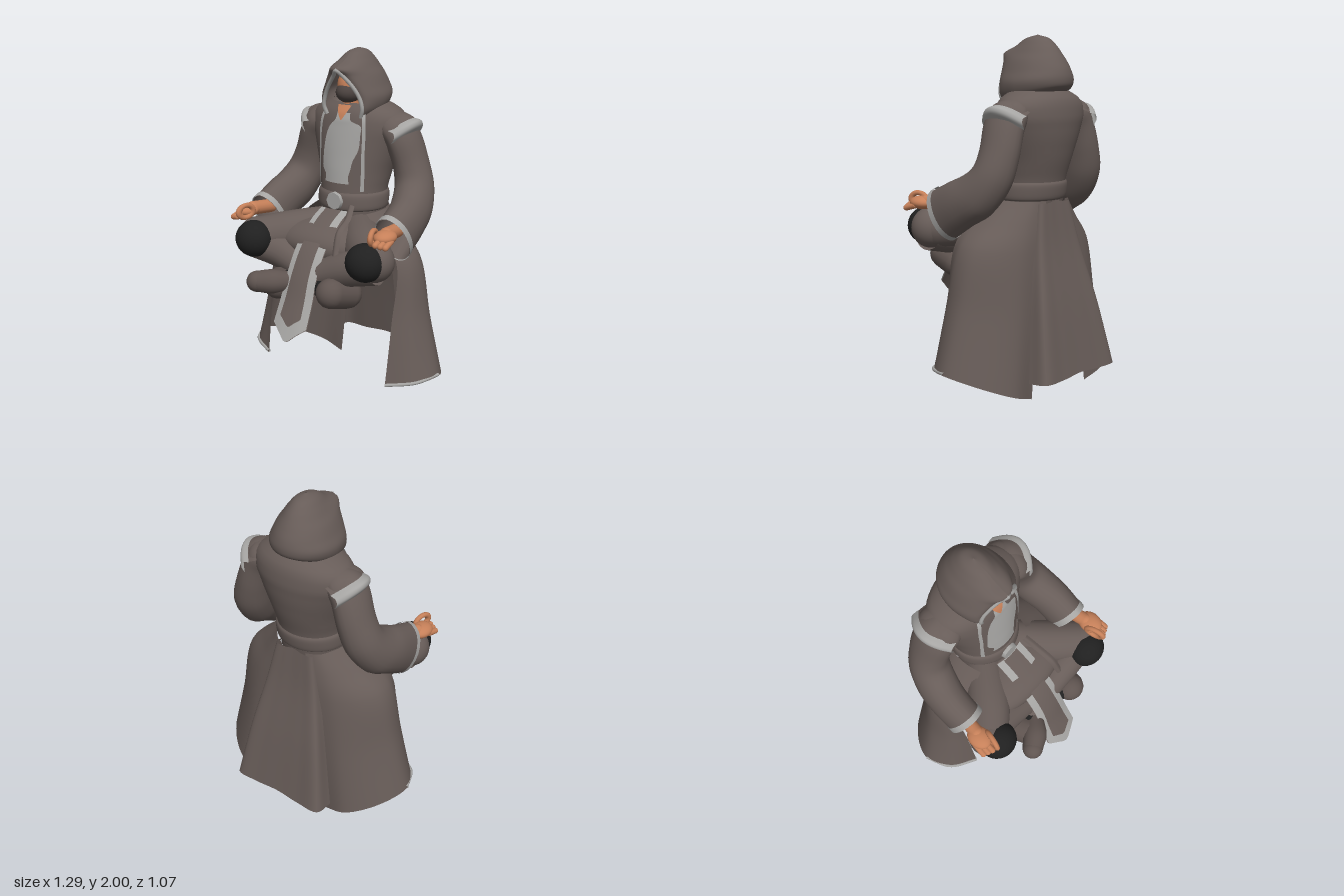
import * as THREE from 'three';

const V = (x, y, z) => new THREE.Vector3(x, y, z);
const mat = (name, color, side = THREE.FrontSide) => new THREE.MeshStandardMaterial({ name, color, side });

// Smooth surface through rows of points
function surface(rows, nu, nv, closed = false) {
  const across = rows.map((r) => {
    const c = new THREE.CatmullRomCurve3(r, closed);
    return Array.from({ length: closed ? nu : nu + 1 }, (_, i) => c.getPoint(i / nu));
  });
  const n = across[0].length, pos = [], idx = [];
  const cols = across[0].map((_, i) => new THREE.CatmullRomCurve3(across.map((r) => r[i])));
  for (let j = 0; j <= nv; j++) for (const c of cols) pos.push(...c.getPoint(j / nv).toArray());
  for (let j = 0; j < nv; j++) for (let i = 0; i < (closed ? n : n - 1); i++) {
    const a = j * n + i, b = j * n + (i + 1) % n;
    idx.push(a, b, b + n, a, b + n, a + n);
  }
  const g = new THREE.BufferGeometry();
  g.setAttribute('position', new THREE.Float32BufferAttribute(pos, 3));
  g.setIndex(idx);
  g.computeVertexNormals();
  return g;
}

// Tapered limb: rings are [x, y, z, radiusU, radiusV]
function limb(rings, ref = V(1, 0, 0)) {
  const p = rings.map((r) => V(r[0], r[1], r[2]));
  const rows = rings.map((r, i) => {
    const t = p[Math.min(i + 1, p.length - 1)].clone().sub(p[Math.max(i - 1, 0)]).normalize();
    const u = ref.clone().addScaledVector(t, -ref.dot(t)).normalize();
    const v = t.clone().cross(u);
    return Array.from({ length: 8 }, (_, k) => {
      const a = k * Math.PI / 4;
      return p[i].clone().addScaledVector(u, r[3] * Math.cos(a)).addScaledVector(v, (r[4] ?? r[3]) * Math.sin(a));
    });
  });
  return surface(rows, 24, rings.length * 5, true);
}

// Torso outline: y, half width, back z, front z
const TORSO = [[0.98, 0.19, -0.31, 0.02], [1.1, 0.2, -0.33, 0.025], [1.2, 0.2, -0.345, 0.02], [1.32, 0.225, -0.38, 0.01],
  [1.44, 0.265, -0.405, -0.005], [1.54, 0.3, -0.415, -0.02], [1.61, 0.305, -0.41, -0.032], [1.66, 0.255, -0.39, -0.05], [1.7, 0.17, -0.35, -0.08]];
function torsoAt(y) {
  let i = 0;
  while (i < TORSO.length - 2 && y > TORSO[i + 1][0]) i++;
  const f = (y - TORSO[i][0]) / (TORSO[i + 1][0] - TORSO[i][0]);
  return TORSO[i].map((v, k) => v + f * (TORSO[i + 1][k] - v));
}
const torsoRing = (y, grow = 0) => {
  const [, X, B, F] = torsoAt(y);
  return Array.from({ length: 24 }, (_, k) => {
    const a = k * Math.PI / 12;
    return V((X + grow) * Math.cos(a), y, (B + F) / 2 + ((F - B) / 2 + grow) * Math.sin(a));
  });
};
// Thin patch lying on the chest: rows of [y, xLeft, xRight]
const patch = (rows, lift) => surface(rows.map(([y, a, b]) => Array.from({ length: 7 }, (_, k) => {
  const x = a + (b - a) * k / 6, [, X, B, F] = torsoAt(y);
  return V(x, y, (B + F) / 2 + (F - B) / 2 * Math.sqrt(1 - (x / X) ** 2) + lift);
})), 8, 28);

// Hood outline: y, half width, centre z, back z, front z, opening half width, rear lift
const HOOD = [[1.63, 0.14, -0.17, -0.33, -0.05, 0.115, 0.05], [1.68, 0.178, -0.19, -0.4, -0.04, 0.13, 0.04],
  [1.74, 0.19, -0.2, -0.41, -0.035, 0.116, 0.02], [1.8, 0.167, -0.2, -0.4, -0.02, 0.082, 0.01],
  [1.86, 0.14, -0.2, -0.375, 0.005, 0.032, 0], [1.9, 0.112, -0.2, -0.35, 0.032, 0.003, 0],
  [1.94, 0.085, -0.2, -0.32, -0.055, 0, 0], [1.98, 0.05, -0.2, -0.275, -0.12, 0, 0], [2, 0.003, -0.2, -0.204, -0.196, 0, 0]];
function hoodRow([y, X, c, B, F, w, lift]) {
  const half = [0, 1, 2, 3].map((k) => k * Math.PI / 8)
    .map((a) => V(w + (X - w) * Math.sin(a), y, c + (F - c) * Math.cos(a)));
  const back = Array.from({ length: 9 }, (_, k) => {
    const b = k * Math.PI / 8;
    return V(X * Math.cos(b), y + lift * Math.sin(b), c + (B - c) * Math.sin(b));
  });
  return [...half, ...back, ...half.map((p) => V(-p.x, p.y, p.z)).reverse()];
}

// Hanging front cloth, slightly bowed: rows of [y, z, half width, point depth]
const drape = (rows, off) => surface(rows.map(([y, z, w, d]) => [-1, -0.5, 0, 0.5, 1].map((k) =>
  V(k * w, y - d * (1 - Math.abs(k)) + off * 0.5, z + d * 0.4 * (1 - Math.abs(k)) + off - 1.4 * (k * w) ** 2))), 16, 28);

export function createModel() {
  const root = new THREE.Group();
  const robe = mat('robe brown', 0x675c58, THREE.DoubleSide), trim = mat('trim grey', 0xa6a5a3, THREE.DoubleSide);
  const skin = mat('skin', 0xc68059, THREE.DoubleSide), black = mat('knee pad black', 0x202020);
  const mask = mat('mask dark brown', 0x4c4340), boot = mat('boot brown', 0x5f5450, THREE.DoubleSide);
  const add = (name, g, m, parent = root) => {
    const o = new THREE.Mesh(g, m);
    o.name = name;
    parent.add(o);
    return o;
  };
  const ball = (name, m, p, r, parent) => {
    const o = add(name, new THREE.SphereGeometry(1, 28, 18), m, parent);
    o.position.set(...p);
    o.scale.set(...r);
  };
  const capsule = (name, m, a, b, r, parent) => {
    const A = V(...a), d = V(...b).sub(A);
    const o = add(name, new THREE.CapsuleGeometry(r, d.length(), 8, 16), m, parent);
    o.position.copy(A).addScaledVector(d, 0.5);
    o.quaternion.setFromUnitVectors(V(0, 1, 0), d.normalize());
  };
  const tube = (name, pts, r, m, parent) =>
    add(name, new THREE.TubeGeometry(new THREE.CatmullRomCurve3(pts), 40, r, 8), m, parent);

  // Torso, belt and chest
  const ys = Array.from({ length: 19 }, (_, i) => 0.98 + i * 0.04);
  add('torso', surface(ys.map((y) => torsoRing(y)), 48, 36, true), robe);
  add('belt', surface([[1.09, 0], [1.1, 0.01], [1.145, 0.014], [1.18, 0.01], [1.195, 0]].map(([y, g]) => torsoRing(y, g)), 48, 16, true), robe);
  const buckle = add('buckle', new THREE.CylinderGeometry(0.05, 0.054, 0.02, 8), trim);
  buckle.rotation.x = Math.PI / 2;
  buckle.position.set(0, 1.15, 0.044);
  add('shirtPanel', patch([[1.25, -0.09, 0.075], [1.29, -0.085, 0.07], [1.33, -0.115, 0.08], [1.38, -0.115, 0.09], [1.45, -0.11, 0.12],
    [1.53, -0.095, 0.125], [1.58, -0.07, 0.125], [1.61, -0.04, 0.06], [1.65, -0.035, 0.05]], 0.008), trim);
  add('neckSkin', patch([[1.61, -0.004, 0.004], [1.65, -0.028, 0.028], [1.69, -0.045, 0.045]], 0.014), skin);

  // Head inside the hood
  ball('head', skin, [0, 1.79, -0.13], [0.078, 0.105, 0.09]);
  ball('faceMask', mask, [0, 1.758, -0.105], [0.072, 0.062, 0.088]);
  add('neck', new THREE.CylinderGeometry(0.05, 0.055, 0.16, 20), skin).position.set(0, 1.66, -0.125);
  add('hood', surface(HOOD.map(hoodRow), 64, 48), robe);
  const rim = HOOD.slice(0, 5).map((h) => V(h[5], h[0], h[4]));
  tube('hoodTrim', [...rim, V(0, 1.893, 0.03), ...rim.map((p) => V(-p.x, p.y, p.z)).reverse()], 0.012, trim);

  // Front cloth with border
  const path = [[1.1, 0.05, 0.095, 0], [1.05, 0.15, 0.096, 0], [0.93, 0.29, 0.098, 0], [0.8, 0.375, 0.1, 0],
    [0.66, 0.435, 0.107, 0], [0.53, 0.5, 0.112, 0.08]];
  add('frontClothBorder', drape(path, 0), trim);
  add('frontClothBack', drape(path, -0.007), robe);
  add('frontClothCentre', drape(path.map(([y, z, w, d], i) => [i < 5 ? y : 0.575, i < 5 ? z : 0.4775, w - 0.042, d * 0.6]), 0.006), robe);

  // Sash end over the lap
  add('sash', surface([[0.12, 1.14, 0.05], [0.14, 1.08, 0.12], [0.155, 1.03, 0.23], [0.17, 0.91, 0.29]].map(([x, y, z]) =>
    [V(x - 0.018, y, z), V(x, y + 0.008, z + 0.008), V(x + 0.022, y, z)]), 6, 16), robe);

  // Rear coat panel
  add('rearCoatPanel', surface([[1.08, 0.13, 0.12, -0.28, -0.335], [0.84, 0.18, 0.165, -0.33, -0.375],
    [0.5, 0.245, 0.235, -0.375, -0.455], [0.13, 0.31, 0.295, -0.42, -0.53]].map(([y, xe, xb, ze, zb]) =>
    [V(-xe, y - 0.01, ze), V(-xb, y, zb), V(-xb * 0.5, y, zb - 0.006), V(0, y + 0.01, zb - 0.003),
      V(xb * 0.5, y, zb - 0.006), V(xb, y, zb), V(xe, y - 0.01, ze)]), 36, 24), robe);
  // Cloth gathered over the crossed legs
  ball('lap', robe, [0, 0.92, 0.08], [0.37, 0.13, 0.2]);

  for (const s of [-1, 1]) {
    const side = new THREE.Group();
    side.name = s > 0 ? 'leftSide' : 'rightSide';
    root.add(side);
    const M = (rings) => rings.map(([x, ...r]) => [s * x, ...r]);
    const row = (pts) => pts.map(([x, y, z]) => V(s * x, y, z));

    // Lapel edge
    add('lapelTrim', patch([[1.21, 0.135, 0.152], [1.32, 0.138, 0.154], [1.44, 0.138, 0.155], [1.54, 0.138, 0.156],
      [1.61, 0.13, 0.15], [1.66, 0.118, 0.138]].map(([y, a, b]) => [y, s * a, s * b]), 0.012), trim, side);

    // Sleeve and cuff
    add('sleeve', limb(M([[0.2, 1.61, -0.21, 0.06, 0.1], [0.25, 1.57, -0.215, 0.09, 0.13], [0.295, 1.5, -0.22, 0.092, 0.13],
      [0.342, 1.36, -0.23, 0.1, 0.12], [0.378, 1.24, -0.21, 0.112, 0.12], [0.41, 1.14, -0.13, 0.115, 0.135],
      [0.43, 1.085, -0.03, 0.108, 0.14], [0.433, 1.01, 0.11, 0.1, 0.152]])), robe, side);
    add('cuffTrim', limb(M([[0.433, 1.027, 0.082, 0.105, 0.155], [0.433, 1.01, 0.114, 0.105, 0.157]])), trim, side);

    // Shoulder flap with trim
    const flap = (x, y, r) => Array.from({ length: 7 }, (_, k) => {
      const t = k / 3 - 1;
      return V(s * (x - 0.075 * t * t), y - 0.06 * t * t, -0.225 + r * t);
    });
    add('shoulderFlap', surface([flap(0.24, 1.655, 0.1), flap(0.31, 1.642, 0.125), flap(0.36, 1.618, 0.138)], 20, 10), robe, side);
    add('shoulderTrim', surface([flap(0.345, 1.625, 0.138), flap(0.385, 1.615, 0.145), flap(0.392, 1.59, 0.148), flap(0.372, 1.555, 0.145)], 20, 12), trim, side);

    // Hand with thumb and forefinger joined
    capsule('wrist', skin, [s * 0.44, 1.06, 0.08], [s * 0.46, 1.075, 0.22], 0.04, side);
    ball('palm', skin, [s * 0.47, 1.07, 0.25], [0.06, 0.038, 0.075], side);
    const loop = add('fingerLoop', new THREE.TorusGeometry(0.038, 0.015, 10, 24), skin, side);
    loop.position.set(s * 0.435, 1.08, 0.315);
    loop.rotation.set(0, Math.PI / 2 + s * 0.25, 0);
    loop.scale.set(1.3, 0.95, 1);
    for (let i = 0; i < 3; i++) {
      const x = 0.465 + i * 0.024;
      capsule('finger', skin, [s * x, 1.068 - i * 0.006, 0.26], [s * (x + 0.006), 1.05 - i * 0.006, 0.35 - i * 0.012], 0.017, side);
    }

    // Folded leg
    add('thigh', limb(M([[0.06, 0.98, -0.12, 0.1], [0.14, 0.965, -0.02, 0.112], [0.26, 0.94, 0.12, 0.125], [0.4, 0.92, 0.25, 0.115]]),
      V(0, 1, 0)), robe, side);
    ball('knee', robe, [s * 0.402, 0.92, 0.25], [0.115, 0.117, 0.11], side);
    ball('kneePad', black, [s * 0.382, 0.925, 0.308], [0.112, 0.107, 0.106], side);
    const dz = s > 0 ? 0 : -0.04;
    add('shin', limb(M([[0.42, 0.89, 0.25, 0.1], [0.25, 0.85, 0.26 + dz, 0.1], [0.05, 0.78, 0.28 + dz, 0.08], [-0.1, 0.73, 0.31 + dz, 0.06]]),
      V(0, 1, 0)), robe, side);
    capsule('ankleWrap', black, [s * 0.06, 0.73, 0.3], [s * 0.125, 0.73, 0.335], 0.056, side);

    // Side coat panel and its hem
    const hem = row([[0.42, 0.135, 0.15], [0.57, 0.155, 0.06], [0.635, 0.168, -0.09], [0.55, 0.12, -0.26], [0.385, 0.05, -0.375], [0.232, 0.002, -0.37]]);
    add('sideCoatPanel', surface([
      row([[0.19, 1.09, 0], [0.208, 1.09, -0.08], [0.21, 1.09, -0.16], [0.19, 1.09, -0.23], [0.15, 1.09, -0.3], [0.08, 1.09, -0.335]]),
      row([[0.32, 0.97, 0.02], [0.345, 0.97, -0.06], [0.34, 0.97, -0.155], [0.29, 0.97, -0.24], [0.21, 0.97, -0.31], [0.1, 0.97, -0.345]]),
      row([[0.42, 0.84, 0.04], [0.465, 0.84, -0.05], [0.46, 0.84, -0.15], [0.39, 0.83, -0.25], [0.27, 0.82, -0.325], [0.13, 0.82, -0.35]]),
      row([[0.425, 0.5, 0.095], [0.52, 0.5, 0.005], [0.545, 0.5, -0.12], [0.46, 0.48, -0.255], [0.325, 0.44, -0.35], [0.18, 0.42, -0.36]]),
      hem], 36, 32), robe, side);
    tube('hemTrim', hem.slice(0, 3).map((p) => p.clone().setY(p.y + 0.01)), 0.01, trim, side);
  }

  // Crossed boots
  capsule('leftBoot', boot, [0.195, 0.725, 0.36], [0.215, 0.69, 0.235], 0.086);
  add('rightBoot', limb([[-0.1, 0.73, 0.34, 0.055], [-0.17, 0.735, 0.41, 0.07], [-0.245, 0.735, 0.46, 0.06]], V(0, 1, 0)), boot);
  ball('rightBootToe', boot, [-0.245, 0.735, 0.46], [0.06, 0.06, 0.06]);
  capsule('rightBootHeel', boot, [-0.17, 0.705, 0.36], [-0.215, 0.69, 0.25], 0.086);
  return root;
}
